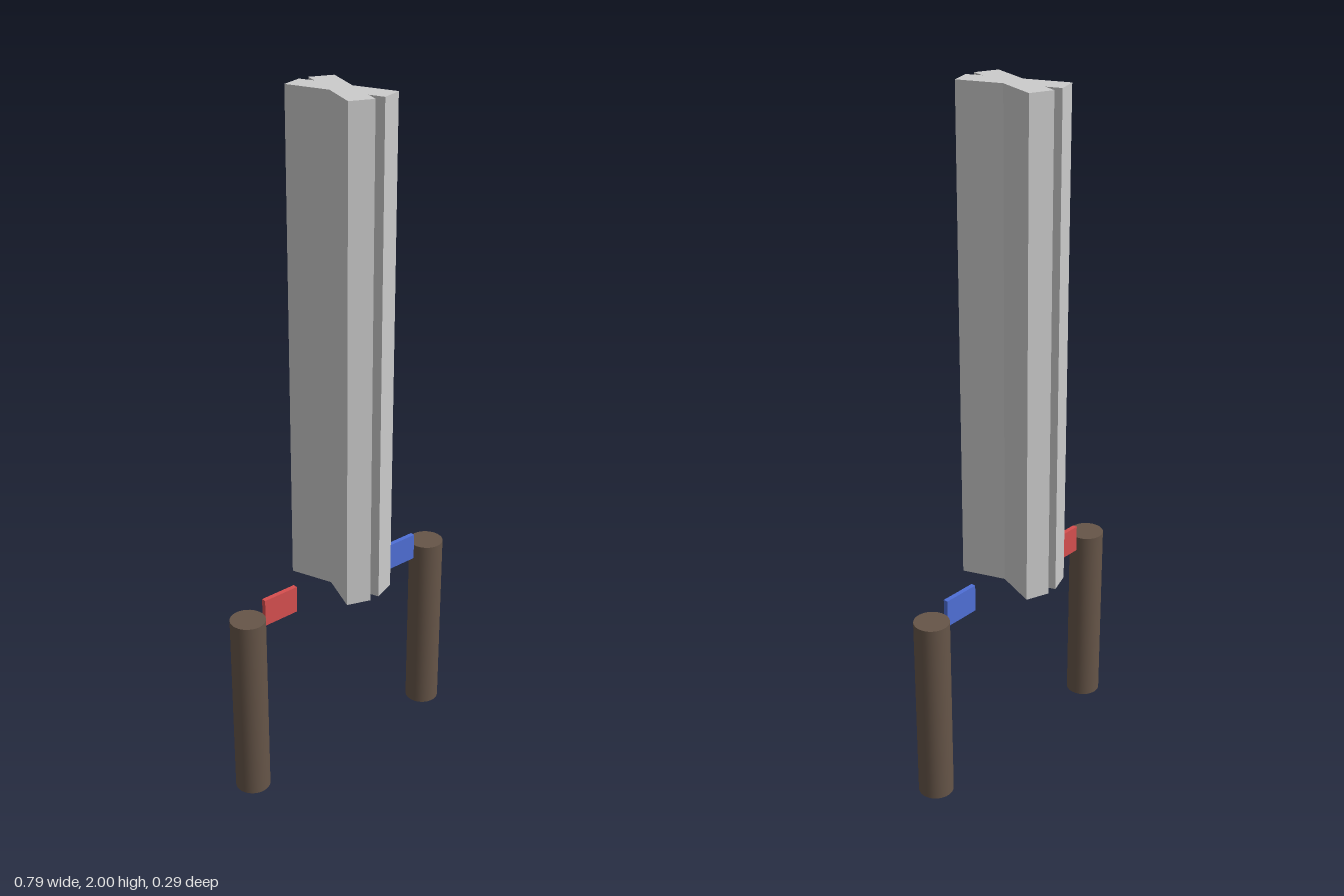
import * as THREE from 'three';

const material = (color) => new THREE.MeshStandardMaterial({ color });

function add(parent, name, geometry, mat, x, y) {
  const mesh = new THREE.Mesh(geometry, mat);
  mesh.name = name;
  mesh.position.set(x, y, 0);
  parent.add(mesh);
}

// Outline of two equal bars crossing at a shallow angle
function crossShape(width, length, angle) {
  const w = width / 2, l = length / 2;
  const c = Math.cos(angle), s = Math.sin(angle);
  const outer = [l * s + w * c, l * c - w * s];
  const inner = [l * s - w * c, l * c + w * s];
  const waist = w / c, notch = w / s;
  return new THREE.Shape([
    [waist, 0], outer, inner, [0, notch],
    [-inner[0], inner[1]], [-outer[0], outer[1]], [-waist, 0],
    [-outer[0], -outer[1]], [-inner[0], -inner[1]], [0, -notch],
    [inner[0], -inner[1]], [outer[0], -outer[1]],
  ].map(([x, y]) => new THREE.Vector2(x, y)));
}

export function createModel() {
  const group = new THREE.Group();
  const postHeight = 0.573, postRadius = 0.051;

  // Tall column with a crossed section
  const column = new THREE.ExtrudeGeometry(
    crossShape(0.071, 0.287, THREE.MathUtils.degToRad(20)),
    { depth: 2 - postHeight, bevelEnabled: false }
  ).rotateX(-Math.PI / 2);
  add(group, 'crossColumn', column, material(0xcccccc), 0, postHeight);

  // A post and a coloured flag on each side
  const post = new THREE.CylinderGeometry(postRadius, postRadius, postHeight, 32);
  const flag = new THREE.BoxGeometry(0.114, 0.082, 0.014);
  const brown = material(0x665548);
  for (const [side, sign, color] of [['left', 1, 0x4f6fd6], ['right', -1, 0xd64f4f]]) {
    add(group, side + 'Post', post, brown, sign * 0.342, postHeight / 2);
    add(group, side + 'Flag', flag, material(color), sign * 0.228, postHeight);
  }
  return group;
}
